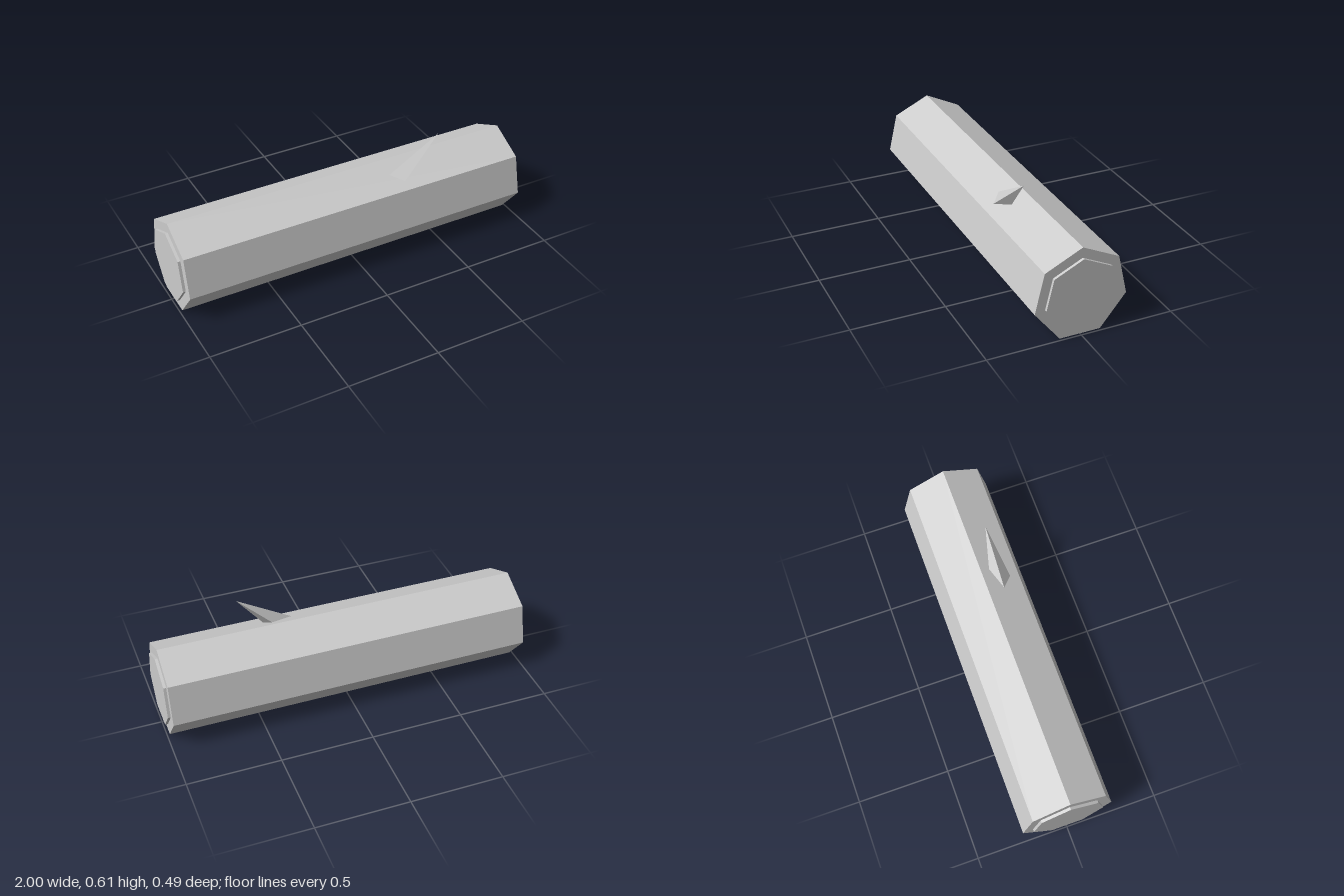
import * as THREE from 'three';

export function createModel() {
  const group = new THREE.Group();
  const grey = new THREE.MeshStandardMaterial({ color: 0xcccccc, flatShading: true });
  grey.name = 'grey';

  const add = (name, geometry) => {
    const mesh = new THREE.Mesh(geometry, grey);
    mesh.name = name;
    group.add(mesh);
    return mesh;
  };

  // Seven-sided prism lying along x, one corner pointing up
  const centreY = 0.2265;
  const prism = (radius, length, x) =>
    new THREE.CylinderGeometry(radius, radius, length, 7, 1, false, Math.PI / 2)
      .rotateZ(Math.PI / 2)
      .translate(x, centreY, 0);

  // Log body
  add('logBody', prism(0.2515, 1.97, 0));

  // Slightly raised cut faces at both ends
  for (const side of [-1, 1]) {
    add(side > 0 ? 'leftEndCap' : 'rightEndCap', prism(0.196, 0.03, side * 0.985));
  }

  // Four-sided twig leaning towards the left end, its base sunk in the log
  const height = 0.38;
  const twig = add('twig', new THREE.ConeGeometry(height * 0.185, height, 4).translate(0, -height / 2, 0));
  twig.position.set(0.535, 0.608, 0.09);
  twig.rotation.z = -0.857;

  return group;
}
